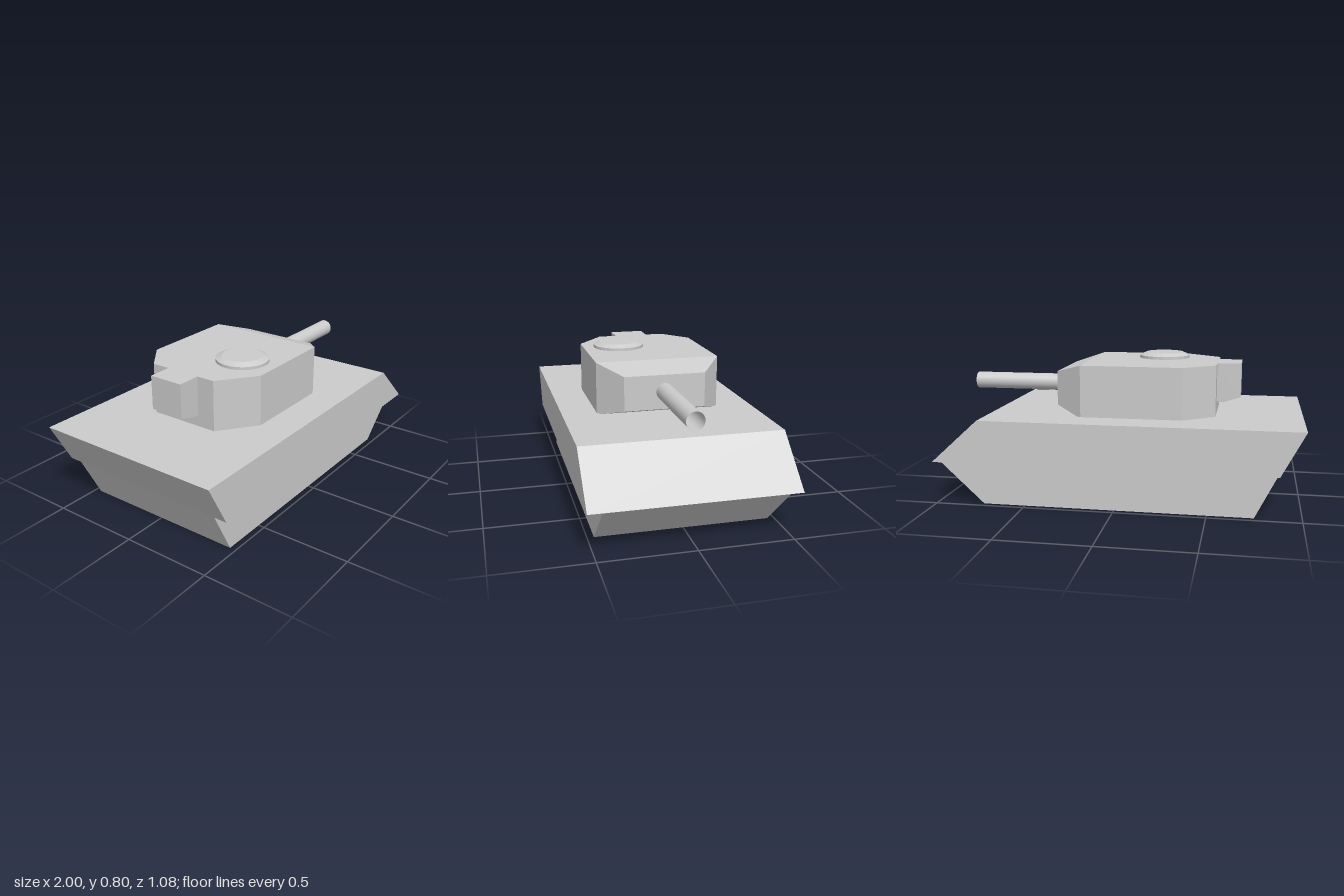
import * as THREE from 'three';

const material = new THREE.MeshStandardMaterial({ color: 0xcccccc, flatShading: true });
const smoothOpen = new THREE.MeshStandardMaterial({ color: 0xcccccc, side: THREE.DoubleSide });

function toShape(points) {
  return new THREE.Shape(points.map(([x, y]) => new THREE.Vector2(x, y)));
}

// Side profile (x, y) extruded across the width from z0 to z1
function sideProfile(points, z0, z1) {
  const g = new THREE.ExtrudeGeometry(toShape(points), { depth: z1 - z0, bevelEnabled: false });
  return g.translate(0, 0, z0);
}

// Plan outline (x, z) extruded upward from y0 to y1
function planProfile(points, y0, y1) {
  const shape = toShape(points.map(([x, z]) => [x, -z]));
  const g = new THREE.ExtrudeGeometry(shape, { depth: y1 - y0, bevelEnabled: false });
  return g.rotateX(-Math.PI / 2).translate(0, y0, 0);
}

export function createModel() {
  const model = new THREE.Group();
  model.name = 'tank';
  const add = (name, geometry, mat = material, parent = model) => {
    const mesh = new THREE.Mesh(geometry, mat);
    mesh.name = name;
    parent.add(mesh);
    return mesh;
  };

  // Hull: wide upper half overhanging a narrower lower half
  add('upperHull', sideProfile(
    [[-0.873, 0.246], [1, 0.246], [0.735, 0.486], [-1, 0.486]], -0.538, 0.538));
  add('lowerHull', sideProfile(
    [[-0.75, 0], [0.735, 0], [1, 0.246], [-0.873, 0.246]], -0.465, 0.465));

  const turret = new THREE.Group();
  turret.name = 'turret';
  model.add(turret);

  // Turret body with chamfered rear corners
  const bottom = 0.477, top = 0.77, frontX = 0.207;
  add('turretBody', planProfile([
    [frontX, -0.346], [frontX, 0.346], [-0.32, 0.346],
    [-0.523, 0.192], [-0.523, -0.213], [-0.353, -0.346],
  ], bottom, top), material, turret);

  // Tapered turret front: a box whose outer face is shrunk
  const nose = new THREE.BoxGeometry(1, 1, 1);
  const p = nose.attributes.position;
  for (let i = 0; i < p.count; i++) {
    const outer = p.getX(i) > 0;
    const up = p.getY(i) > 0;
    const y = up ? (outer ? 0.72 : top) : (outer ? 0.53 : bottom);
    p.setXYZ(i, outer ? 0.366 : frontX, y, Math.sign(p.getZ(i)) * (outer ? 0.224 : 0.346));
  }
  nose.computeVertexNormals();
  add('turretFront', nose, material, turret);

  // Stowage box on the turret rear
  add('turretBustle', sideProfile(
    [[-0.655, 0.582], [-0.565, 0.553], [-0.52, 0.553], [-0.52, top], [-0.655, top]],
    -0.11, 0.088), material, turret);

  // Low hatch with a bevelled rim
  const hatch = new THREE.LatheGeometry(
    [[0.147, 0], [0.147, 0.016], [0.11, 0.032], [0, 0.032]].map(([r, y]) => new THREE.Vector2(r, y)), 32);
  add('hatch', hatch, material, turret).position.set(-0.198, top, 0.137);

  // Hollow gun barrel
  const barrel = new THREE.CylinderGeometry(0.048, 0.048, 0.555, 32, 1, true).rotateZ(-Math.PI / 2);
  add('gunBarrel', barrel, smoothOpen, turret).position.set(0.638, 0.627, 0);

  return model;
}
